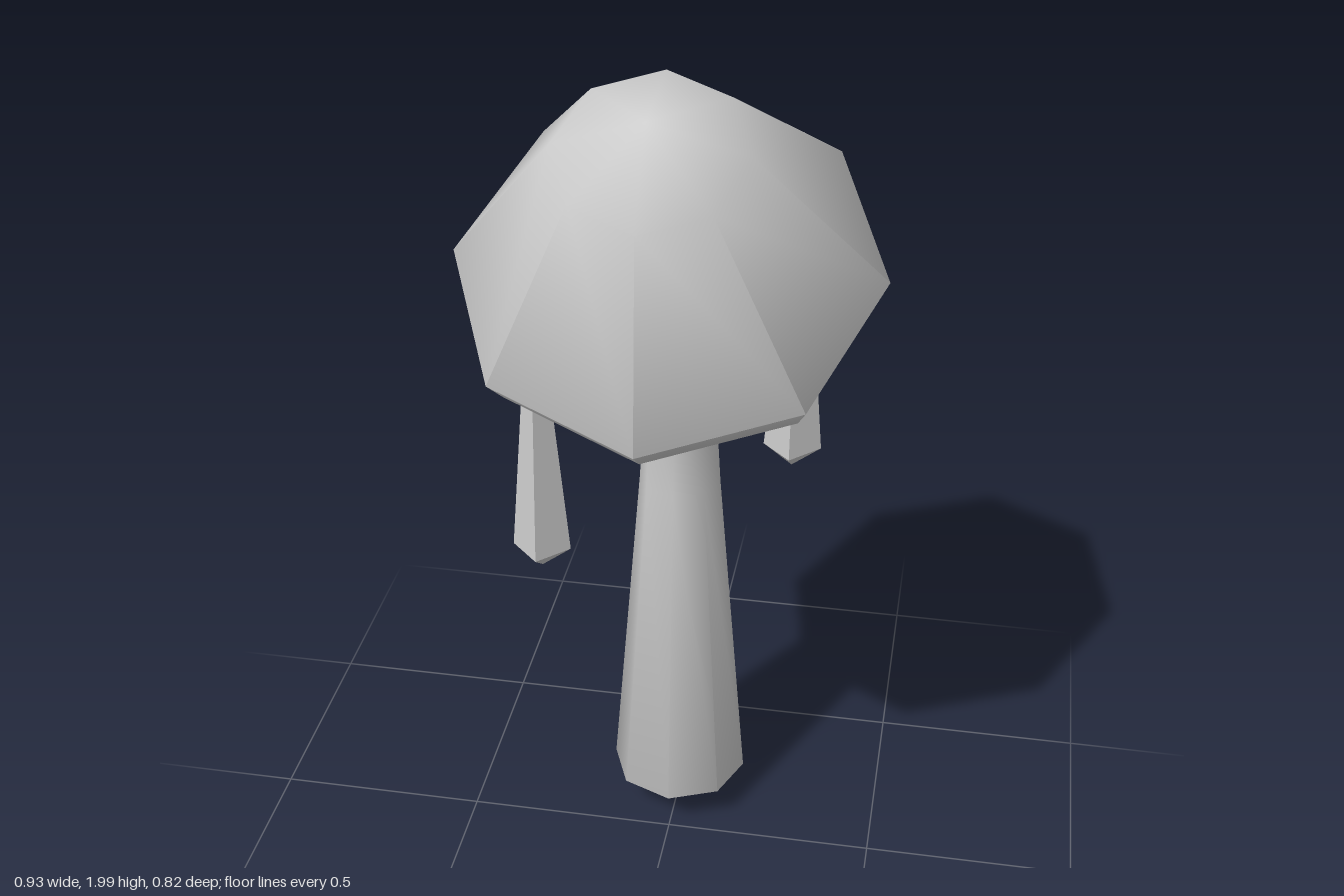
import * as THREE from 'three';
import { toCreasedNormals } from 'three/addons/utils/BufferGeometryUtils.js';

const SIDES = 8;

function lathe(profile, sides) {
  return new THREE.LatheGeometry(profile.map(([r, y]) => new THREE.Vector2(r, y)), sides);
}

// Bends a lathe: each ring is moved to its own height and depth, and tilted forward.
function bentStem(sections) {
  const geo = lathe(sections.map(([r], i) => [r, i]), SIDES);
  const p = geo.attributes.position;
  for (let i = 0; i < p.count; i++) {
    const [, y, z, tilt] = sections[Math.round(p.getY(i))];
    const d = p.getZ(i);
    p.setY(i, y - d * Math.sin(tilt));
    p.setZ(i, z + d * Math.cos(tilt));
  }
  return toCreasedNormals(geo, 1.25);
}

export function createModel() {
  const model = new THREE.Group();
  const grey = new THREE.MeshStandardMaterial({ color: 0xcccccc });
  const faceted = new THREE.MeshStandardMaterial({ color: 0xcccccc, flatShading: true });

  const add = (name, geo, mat, x, y, z) => {
    const mesh = new THREE.Mesh(geo, mat);
    mesh.name = name;
    mesh.position.set(x, y, z);
    model.add(mesh);
    return mesh;
  };

  // Stem: radius, height, depth, forward tilt
  add('stem', bentStem([
    [0, 0.005, -0.155, 0],
    [0.165, 0.1, -0.155, 0],
    [0.095, 0.95, -0.15, 0],
    [0.084, 1.155, -0.141, 0.08],
    [0.069, 1.35, -0.093, 0.38],
    [0.07, 1.51, -0.022, 0.5],
    [0.065, 1.6, 0.03, 0.52],
    [0, 1.64, 0.053, 0.52],
  ]), grey, 0, 0, 0);

  // Eight-sided cap, tipped forward, with a bevelled rim and flat underside
  const cap = add('cap', toCreasedNormals(lathe([
    [0, -0.074], [0.435, -0.074], [0.464, 0], [0.2, 0.386], [0, 0.475],
  ], SIDES), Math.PI / 3), grey, 0, 1.565, 0.008);
  cap.rotation.x = Math.PI / 6;

  // Four-sided drops hanging from the underside
  const drop = lathe([[0, 0], [0.066, 0.05], [0, 0.81]], 4);
  add('rightDrop', drop, faceted, -0.272, 0.842, 0.105);
  add('leftDrop', drop, faceted, 0.258, 1.004, -0.16);

  return model;
}
